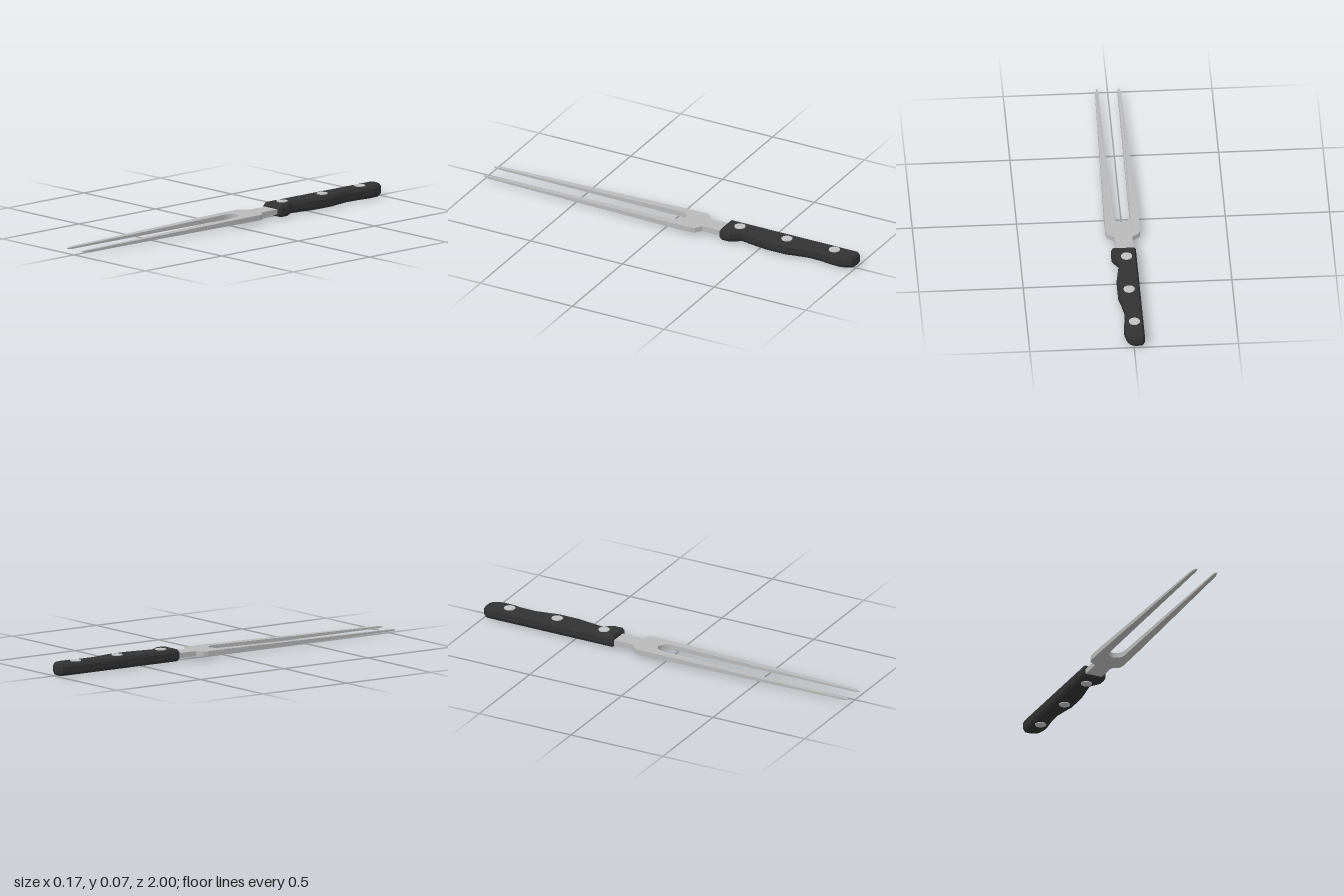
import * as THREE from 'three';

const steel = new THREE.MeshStandardMaterial({ color: 0xb9b9b9 });
steel.name = 'steel';
const rivetSteel = new THREE.MeshStandardMaterial({ color: 0xc2c2c2 });
rivetSteel.name = 'rivet steel';
const black = new THREE.MeshStandardMaterial({ color: 0x323232 });
black.name = 'black handle';

// Extrude an outline drawn in (x, z) so that it lies flat, its top at y = 0
function flatExtrude(points, options) {
  const shape = new THREE.Shape(points.map(([x, z]) => new THREE.Vector2(x, z)));
  return new THREE.ExtrudeGeometry(shape, options).rotateX(Math.PI / 2);
}

// Linear interpolation through [z, value] stops
function along(stops, z) {
  if (z <= stops[0][0]) return stops[0][1];
  for (let i = 1; i < stops.length; i++) {
    const [z0, v0] = stops[i - 1], [z1, v1] = stops[i];
    if (z <= z1) return v0 + (v1 - v0) * (z - z0) / (z1 - z0);
  }
  return stops[stops.length - 1][1];
}

function makeFork() {
  // Right-hand half of the outline: neck, shoulder, prong, tip, inner edge
  const half = [
    [0.043, -0.34], [0.043, -0.185], [0.076, -0.163], [0.083, -0.14], [0.083, -0.02],
    [0.063, 0.965], [0.056, 0.995], [0.05, 1.0], [0.045, 0.975], [0.04, -0.02],
  ];
  // Rounded root of the slot
  for (let i = 1; i <= 5; i++) {
    const a = (i / 6) * Math.PI / 2;
    half.push([0.04 * Math.cos(a), -0.02 - 0.05 * Math.sin(a)]);
  }
  const mirrored = half.map(([x, z]) => [-x, z]).reverse();
  const geometry = flatExtrude([...half, [0, -0.07], ...mirrored], { depth: 1, bevelEnabled: false });

  // Thin the blade towards the tips
  const top = [[-0.02, 0.041], [0.97, 0.027], [1, 0.024]];
  const bottom = [[-0.02, 0.016], [0.97, 0.018], [1, 0.02]];
  const p = geometry.attributes.position;
  for (let i = 0; i < p.count; i++) {
    p.setY(i, along(p.getY(i) > -0.5 ? top : bottom, p.getZ(i)));
  }
  geometry.computeVertexNormals();
  const mesh = new THREE.Mesh(geometry, steel);
  mesh.name = 'forkBlade';
  return mesh;
}

function makeHandle() {
  const outline = [
    [-0.053, -0.29], [0.062, -0.29], [0.067, -0.3], [0.067, -0.345], [0.033, -0.395],
    [0.042, -0.45], [0.054, -0.53], [0.054, -0.645], [0.044, -0.69], [0.032, -0.76],
    [0.034, -0.83], [0.042, -0.89], [0.043, -0.93], [0.036, -0.965], [0.022, -0.99],
    [-0.005, -1], [-0.042, -1], [-0.053, -0.985],
  ];
  const geometry = flatExtrude(outline, {
    depth: 0.028, bevelEnabled: true, bevelSegments: 1,
    bevelThickness: 0.015, bevelSize: 0.008, bevelOffset: -0.008,
  });
  geometry.translate(0, 0.047, 0);
  const mesh = new THREE.Mesh(geometry, black);
  mesh.name = 'handle';
  return mesh;
}

export function createModel() {
  const group = new THREE.Group();
  group.name = 'carvingFork';
  group.add(makeFork(), makeHandle());

  // Rivets pass right through the handle
  const rivetGeometry = new THREE.CylinderGeometry(0.027, 0.027, 0.066, 20);
  for (const [x, z] of [[-0.009, -0.878], [0, -0.624], [-0.004, -0.366]]) {
    const rivet = new THREE.Mesh(rivetGeometry, rivetSteel);
    rivet.name = 'rivet';
    rivet.position.set(x, 0.033, z);
    group.add(rivet);
  }
  return group;
}
